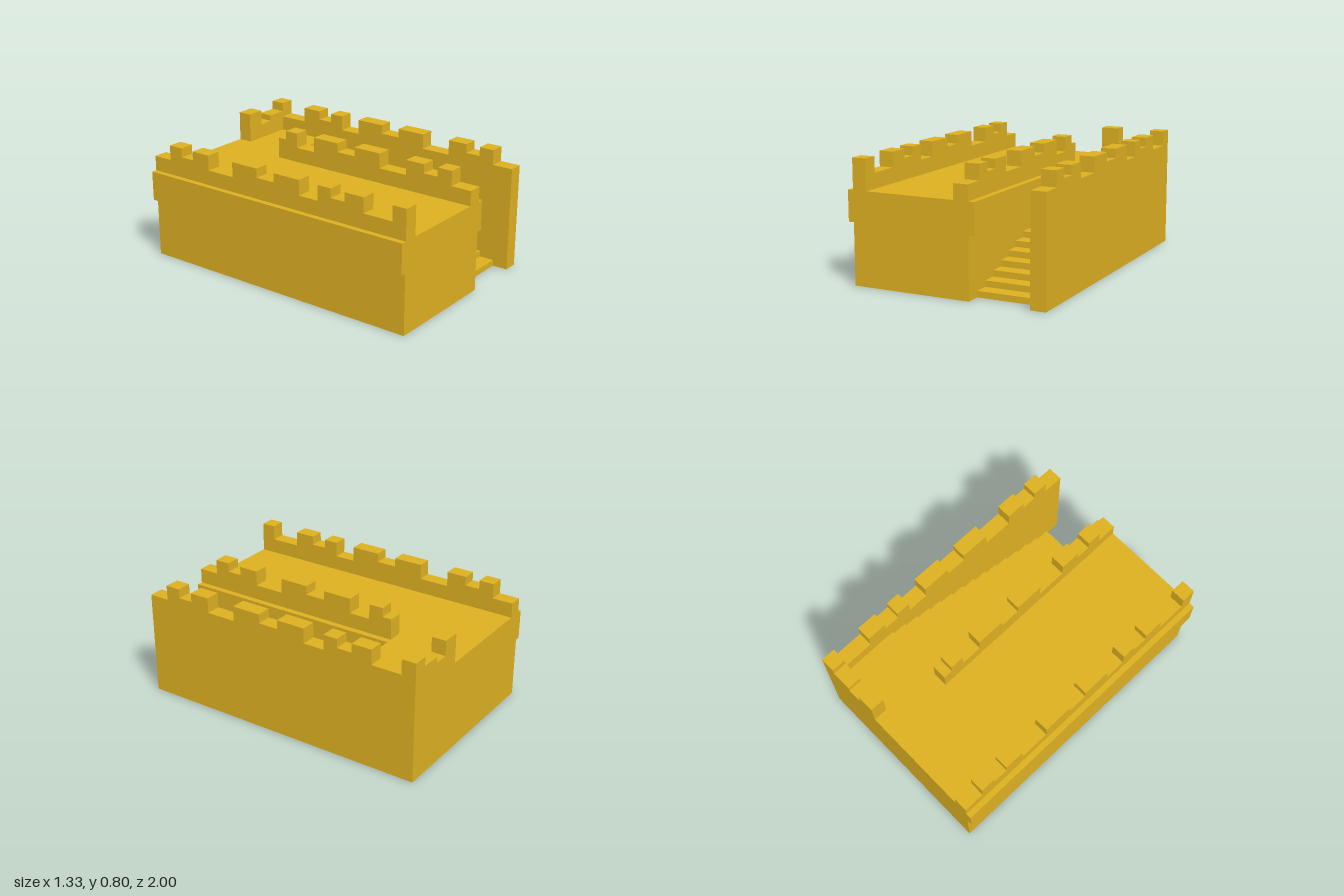
import * as THREE from 'three';

const material = new THREE.MeshStandardMaterial({ color: 0xddb021, flatShading: true });
const DECK = 0.6, STAIR_TOP = -0.523, STAIR_FOOT = 0.897;

// Battlement, front to back: [where the section ends in z, its height]
const BATTLEMENT = [
  [0.86, 0.7], [0.757, 0.8], [0.657, 0.74], [0.521, 0.8], [0.317, 0.7], [0.117, 0.8], [-0.021, 0.74],
  [-0.219, 0.8], [-0.362, 0.7], [-0.459, 0.8], [-0.563, 0.74], [-0.7, 0.8], [-0.904, 0.7], [-1, 0.8],
];

export function createModel() {
  const model = new THREE.Group();

  const add = (name, geometry) => {
    const mesh = new THREE.Mesh(geometry, material);
    mesh.name = name;
    model.add(mesh);
  };

  const box = (name, x0, x1, y0, y1, z0, z1) => {
    const g = new THREE.BoxGeometry(x1 - x0, y1 - y0, z1 - z0);
    add(name, g.translate((x0 + x1) / 2, (y0 + y1) / 2, (z0 + z1) / 2));
  };

  // Extrudes a (z, y) side profile across x0..x1
  const slab = (name, points, x0, x1) => {
    const shape = new THREE.Shape(points.map(([z, y]) => new THREE.Vector2(z, y)));
    const g = new THREE.ExtrudeGeometry(shape, { depth: x1 - x0, bevelEnabled: false });
    add(name, g.rotateY(-Math.PI / 2).translate(x1, 0, 0));
  };

  // Wall profile with a notched top; flip reverses it front to back
  const wallProfile = (base, back = -1, flip = false) => {
    const points = [[1, base]];
    let z = 1;
    for (const [end, y] of BATTLEMENT) {
      if (z <= back) break;
      const next = Math.max(end, back);
      points.push([z, y], [next, y]);
      z = next;
    }
    points.push([back, base]);
    return flip ? points.map(([pz, y]) => [-pz, y]) : points;
  };

  // Main block and its overhanging ledges
  box('mainBlock', -0.63, 0.167, 0, DECK, -1, 1);
  box('outerLedge', -0.667, -0.63, 0.4, DECK, -1, 1);
  box('stairLedge', 0.167, 0.207, 0.4, DECK, STAIR_TOP, 1);

  // Staircase rising to the rear landing
  const steps = 14, run = (STAIR_FOOT - STAIR_TOP) / steps, rise = DECK / (steps + 1);
  const stair = [[STAIR_FOOT, 0]];
  for (let i = 0; i < steps; i++) {
    const z = STAIR_FOOT - i * run, y = (i + 1) * rise;
    stair.push([z, y], [z - run, y]);
  }
  stair.push([STAIR_TOP, DECK], [-1, DECK], [-1, 0]);
  slab('stairsAndLanding', stair, 0.167, 0.567);

  // Battlemented walls
  slab('stairOuterWall', wallProfile(0), 0.567, 0.667);
  slab('stairInnerParapet', wallProfile(DECK, STAIR_TOP), 0.067, 0.167);
  slab('sideParapet', wallProfile(DECK, -1, true), -0.63, -0.533);

  // Short rear parapet beside the landing
  [[0.207, 0.329, 0.8], [0.329, 0.43, 0.7], [0.43, 0.567, 0.74]].forEach(([x0, x1, y]) =>
    box('rearParapet', x0, x1, DECK, y, -1, -0.904));

  return model;
}
